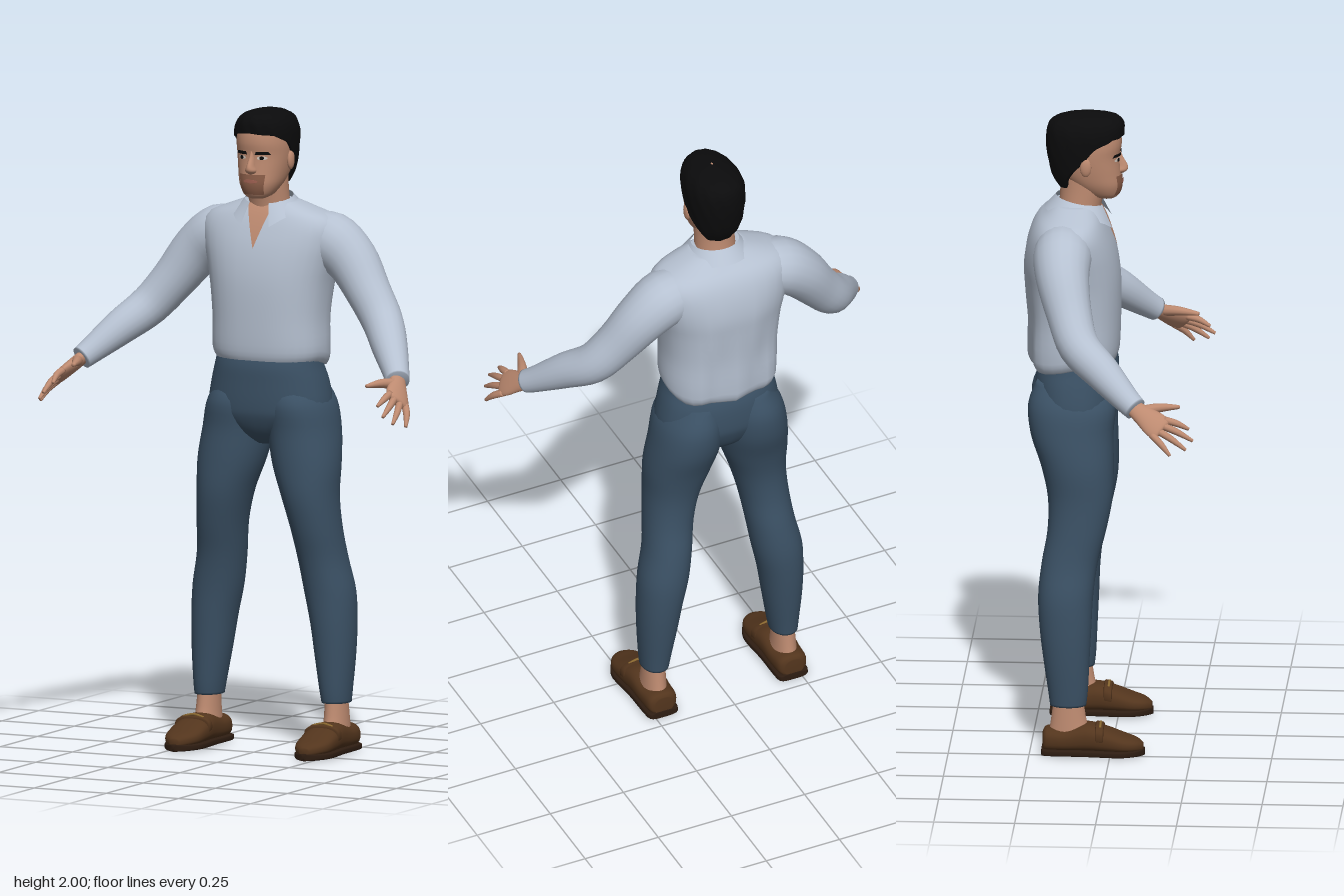
import * as THREE from 'three';

const V = (x, y, z) => new THREE.Vector3(x, y, z);
const mat = (name, color, side = THREE.FrontSide) => {
  const m = new THREE.MeshStandardMaterial({ color, side });
  m.name = name;
  return m;
};

// Catmull-Rom resampling of rows of numbers
function smooth(rows, k = 4) {
  const out = [];
  for (let i = 0; i < rows.length - 1; i++) {
    const [a, b, c, d] = [rows[Math.max(i - 1, 0)], rows[i], rows[i + 1], rows[Math.min(i + 2, rows.length - 1)]];
    for (let s = 0; s < k; s++) {
      const t = s / k;
      out.push(b.map((_, j) => 0.5 * (2 * b[j] + (c[j] - a[j]) * t + (2 * a[j] - 5 * b[j] + 4 * c[j] - d[j]) * t * t
        + (3 * b[j] - a[j] - 3 * c[j] + d[j]) * t * t * t)));
    }
  }
  out.push(rows[rows.length - 1]);
  return out;
}

// Closed skin over sections { c, u, v }: centre and two half axes, superellipse power p
function loft(sections, p = 2, n = 32) {
  const pos = [], idx = [];
  const f = (t) => Math.sign(t) * Math.abs(t) ** (2 / p);
  for (const { c, u, v } of sections)
    for (let j = 0; j < n; j++) {
      const a = (j / n) * Math.PI * 2;
      const q = c.clone().addScaledVector(u, f(Math.cos(a))).addScaledVector(v, f(Math.sin(a)));
      pos.push(q.x, q.y, q.z);
    }
  const m = sections.length, end = m * n;
  for (const s of [sections[0], sections[m - 1]]) pos.push(s.c.x, s.c.y, s.c.z);
  for (let j = 0; j < n; j++) {
    const k = (j + 1) % n;
    for (let i = 0; i < m - 1; i++) {
      const a = i * n + j, b = i * n + k;
      idx.push(a, b, b + n, a, b + n, a + n);
    }
    idx.push(end, k, j, end + 1, (m - 1) * n + j, (m - 1) * n + k);
  }
  // turn faces outward if the enclosed volume is negative
  let vol = 0;
  const P = (i) => V(pos[3 * i], pos[3 * i + 1], pos[3 * i + 2]).sub(sections[0].c);
  for (let i = 0; i < idx.length; i += 3) vol += P(idx[i]).dot(P(idx[i + 1]).cross(P(idx[i + 2])));
  if (vol < 0) idx.reverse();
  return build(pos, idx);
}

function build(pos, idx) {
  const g = new THREE.BufferGeometry();
  g.setAttribute('position', new THREE.Float32BufferAttribute(pos, 3));
  g.setIndex(idx);
  g.computeVertexNormals();
  return g;
}

// Grid surface from a rule fn(s, t) -> Vector3
function sheet(fn, ns, nt) {
  const pos = [], idx = [];
  for (let i = 0; i <= nt; i++) for (let j = 0; j <= ns; j++) pos.push(...fn(j / ns, i / nt).toArray());
  for (let i = 0; i < nt; i++)
    for (let j = 0; j < ns; j++) {
      const a = i * (ns + 1) + j, b = a + ns + 1;
      idx.push(a, a + 1, b + 1, a, b + 1, b);
    }
  return build(pos, idx);
}

// Upright body: rows [y, centre x, half width, front z, back z]
const upright = (rows, p) => loft(rows.map(([y, cx, hx, zf, zb]) =>
  ({ c: V(cx, y, (zf + zb) / 2), u: V(hx, 0, 0), v: V(0, 0, (zf - zb) / 2) })), p);

// Lengthwise body: rows [z, centre x, half width, bottom y, top y]
const lengthwise = (rows, p) => loft(rows.map(([z, cx, hx, y0, y1]) =>
  ({ c: V(cx, (y0 + y1) / 2, z), u: V(hx, 0, 0), v: V(0, (y1 - y0) / 2, 0) })), p);

// Limb: rows [x, y, z, radius]
function limb(rows, n = 20, k = 4) {
  const r = smooth(rows, k), at = (i) => V(...r[Math.min(Math.max(i, 0), r.length - 1)].slice(0, 3));
  return loft(r.map((q, i) => {
    const t = at(i + 1).sub(at(i - 1)).normalize();
    const u = t.clone().cross(V(0.6, 0.8, 0)).normalize(), v = t.clone().cross(u);
    return { c: at(i), u: u.multiplyScalar(q[3]), v: v.multiplyScalar(q[3]) };
  }), 2, n);
}

function rowAt(rows, y) {
  let i = 0;
  while (i < rows.length - 2 && rows[i + 1][0] < y) i++;
  const t = THREE.MathUtils.clamp((y - rows[i][0]) / (rows[i + 1][0] - rows[i][0]), 0, 1);
  return rows[i].map((a, j) => a + (rows[i + 1][j] - a) * t);
}

// Thin face lying on the front of an upright body
function decal(rows, p, y0, y1, span, off = 0.004) {
  return sheet((s, t) => {
    const y = y0 + (y1 - y0) * t, [l, r] = span(t), x = l + (r - l) * s;
    const [, , hx, zf, zb] = rowAt(rows, y);
    const d = (1 - Math.min(Math.abs(x / hx), 1) ** p) ** (1 / p);
    return V(x, y, (zf + zb) / 2 + ((zf - zb) / 2) * d + off);
  }, 10, 10);
}
const oval = (cx, w) => (t) => {
  const h = w * Math.sqrt(Math.max(0, 1 - (2 * t - 1) ** 2));
  return [cx - h, cx + h];
};

export function createModel() {
  const g = new THREE.Group();
  g.name = 'standingMan';
  const shirt = mat('shirt', 0xb6c1d1, THREE.DoubleSide), denim = mat('trousers', 0x3b5165);
  const skin = mat('skin', 0xbd8a70, THREE.DoubleSide), stubble = mat('stubble', 0x8a5d48);
  const hair = mat('hair', 0x0b0b0c, THREE.DoubleSide), leather = mat('leather', 0x53351d);
  const sole = mat('sole', 0x2e1d12), brass = mat('brass', 0x8a6830);
  const white = mat('eyeWhite', 0xcfc4ba), lip = mat('lips', 0x9c5f50);
  const add = (name, geo, m) => {
    const o = new THREE.Mesh(geo, m);
    o.name = name;
    g.add(o);
  };
  const pair = (name, geo, m) => {
    add(name + 'Left', geo, m);
    const r = geo.clone().scale(-1, 1, 1);
    r.index.array.reverse();
    add(name + 'Right', r, m);
  };

  // Shirt body, with a longer back hem and soft folds
  const torso = smooth([[1.215, 0, 0.17, 0.005, -0.25], [1.25, 0, 0.185, 0.016, -0.262], [1.35, 0, 0.185, 0.02, -0.265],
    [1.45, 0, 0.195, 0.02, -0.273], [1.52, 0, 0.21, 0.013, -0.278], [1.58, 0, 0.225, 0, -0.272], [1.63, 0, 0.23, -0.017, -0.258],
    [1.665, 0, 0.205, -0.032, -0.238], [1.69, 0, 0.145, -0.045, -0.21], [1.712, 0, 0.085, -0.06, -0.185]]);
  const body = upright(torso, 2.4), bp = body.attributes.position;
  for (let i = 0; i < bp.count; i++) {
    const x = bp.getX(i), y = bp.getY(i), z = bp.getZ(i), low = THREE.MathUtils.clamp((1.6 - y) / 0.35, 0, 1);
    if (z < -0.14) bp.setZ(i, z + 0.008 * low * Math.sin(x * 48 + y * 9));
    if (y < 1.26 && z < -0.1) bp.setY(i, y - 0.022 * Math.min(1, (-0.1 - z) / 0.1));
  }
  body.computeVertexNormals();
  add('shirtBody', body, shirt);
  pair('sleeve', limb([[0.11, 1.595, -0.15, 0.075], [0.19, 1.588, -0.15, 0.09], [0.265, 1.533, -0.145, 0.082],
    [0.337, 1.44, -0.12, 0.07], [0.403, 1.358, -0.085, 0.064], [0.465, 1.295, -0.01, 0.056],
    [0.525, 1.23, 0.065, 0.042], [0.548, 1.205, 0.097, 0.037]]), shirt);
  add('openNeckline', decal(torso, 2.4, 1.57, 1.705, (t) => [-0.044 * t, 0.044 * t], 0.006), skin);

  // Folded collar, open and pointed at the front
  add('collar', sheet((s, t) => {
    const a = 0.45 + s * (Math.PI * 2 - 0.9), k = Math.cos(a), e = Math.max(0, k) ** 4;
    const top = 1.735 - 0.014 * (k + 1), y = top - t * (0.04 + 0.045 * e);
    return V(Math.sin(a) * (0.075 + 0.037 * t), y, -0.105 + k * (0.076 + 0.036 * t));
  }, 48, 4), shirt);

  // Hands
  const wrist = V(0.542, 1.212, 0.085), knuckle = V(0.588, 1.153, 0.178);
  const across = V(0.54, -0.6, -0.59).normalize();
  const fwd = knuckle.clone().sub(wrist).normalize(), thick = across.clone().cross(fwd).normalize();
  pair('palm', loft(smooth([[0, 0.026, 0.02], [0.35, 0.032, 0.02], [0.75, 0.042, 0.018], [1, 0.04, 0.014], [1.06, 0.03, 0.006]]).map(([t, w, h]) =>
    ({ c: wrist.clone().lerp(knuckle, t), u: across.clone().multiplyScalar(w), v: thick.clone().multiplyScalar(h) }))), skin);
  [[0.562, 1.148, 0.262], [0.588, 1.118, 0.276], [0.612, 1.095, 0.256], [0.633, 1.082, 0.208]].forEach((tip, i) => {
    const b = knuckle.clone().addScaledVector(across, -0.031 + 0.021 * i).addScaledVector(fwd, -0.012);
    const m = b.clone().lerp(V(...tip), 0.5).add(V(0.004, 0.005, 0));
    pair('finger' + (i + 1), limb([[...b, 0.0115], [...m, 0.0105], [...tip, 0.005]], 10), skin);
  });
  pair('thumb', limb([[0.55, 1.2, 0.12, 0.018], [0.527, 1.205, 0.17, 0.014], [0.508, 1.203, 0.23, 0.006]], 10), skin);

  // Trousers: seat and legs
  add('trouserSeat', upright(smooth([[0.955, 0, 0.03, -0.06, -0.17], [0.99, 0, 0.11, -0.02, -0.21], [1.04, 0, 0.19, 0.005, -0.236],
    [1.08, 0, 0.2, 0.012, -0.245], [1.15, 0, 0.188, 0.013, -0.243], [1.2, 0, 0.174, 0.012, -0.228], [1.24, 0, 0.165, 0.002, -0.21]]), 2.3), denim);
  pair('trouserLeg', upright(smooth([[1.16, 0.09, 0.06, -0.03, -0.235], [1.09, 0.102, 0.098, 0.008, -0.261], [1.0, 0.113, 0.108, 0.003, -0.254],
    [0.9, 0.129, 0.105, 0.005, -0.22], [0.8, 0.146, 0.087, 0.002, -0.198], [0.7, 0.162, 0.077, -0.017, -0.198],
    [0.6, 0.175, 0.075, -0.042, -0.215], [0.5, 0.193, 0.078, -0.055, -0.225], [0.4, 0.206, 0.07, -0.06, -0.22],
    [0.3, 0.213, 0.061, -0.065, -0.208], [0.2, 0.218, 0.049, -0.07, -0.193], [0.155, 0.22, 0.043, -0.075, -0.187]]), 2.1), denim);

  // Ankles and loafers
  pair('ankle', upright(smooth([[0.05, 0.222, 0.04, -0.05, -0.195], [0.1, 0.222, 0.036, -0.072, -0.185], [0.18, 0.22, 0.032, -0.085, -0.175]]), 2), skin);
  pair('shoe', lengthwise(smooth([[-0.209, 0.222, 0.03, 0.012, 0.07], [-0.195, 0.222, 0.048, 0.01, 0.085], [-0.14, 0.222, 0.053, 0.01, 0.085],
    [-0.075, 0.223, 0.055, 0.01, 0.1], [-0.02, 0.224, 0.059, 0.01, 0.088], [0.04, 0.225, 0.057, 0.01, 0.065],
    [0.08, 0.225, 0.04, 0.012, 0.052], [0.102, 0.225, 0.014, 0.015, 0.038]]), 2.5), leather);
  pair('shoeSole', lengthwise(smooth([[-0.212, 0.222, 0.034, 0, 0.022], [-0.195, 0.222, 0.052, 0, 0.022], [-0.08, 0.223, 0.055, 0, 0.022],
    [0.0, 0.224, 0.062, 0, 0.022], [0.045, 0.225, 0.059, 0, 0.022], [0.085, 0.225, 0.038, 0, 0.022], [0.106, 0.225, 0.01, 0, 0.022]]), 5), sole);
  pair('shoeStrap', lengthwise([[-0.045, 0.224, 0.056, 0.03, 0.098], [-0.042, 0.224, 0.059, 0.03, 0.1],
    [-0.022, 0.224, 0.061, 0.03, 0.095], [-0.019, 0.224, 0.058, 0.03, 0.09]], 2.6), leather);
  pair('shoeBit', limb([[0.19, 0.092, -0.03, 0.004], [0.224, 0.1, -0.03, 0.004], [0.258, 0.092, -0.03, 0.004]], 8), brass);

  // Neck and head
  add('neck', upright(smooth([[1.62, 0, 0.07, -0.055, -0.18], [1.7, 0, 0.064, -0.042, -0.172], [1.76, 0, 0.061, -0.03, -0.168], [1.82, 0, 0.06, -0.03, -0.17]]), 2), skin);
  const head = smooth([[1.726, 0, 0.025, 0, -0.05], [1.738, 0, 0.045, 0.014, -0.09], [1.77, 0, 0.064, 0.023, -0.135], [1.81, 0, 0.075, 0.02, -0.17],
    [1.86, 0, 0.083, 0.016, -0.19], [1.9, 0, 0.085, 0.022, -0.2], [1.94, 0, 0.08, 0.018, -0.2], [1.97, 0, 0.06, 0, -0.17], [1.985, 0, 0.02, -0.05, -0.12]]);
  add('head', upright(head, 2.2), skin);
  add('nose', upright(smooth([[1.805, 0, 0.012, 0.028, -0.01], [1.815, 0, 0.018, 0.04, -0.01], [1.83, 0, 0.013, 0.04, -0.01],
    [1.855, 0, 0.009, 0.026, -0.01], [1.875, 0, 0.006, 0.018, -0.01]]), 2), skin);
  const ear = new THREE.SphereGeometry(1, 14, 10).scale(0.01, 0.03, 0.018).translate(0.085, 1.842, -0.085);
  pair('ear', ear, skin);
  add('beardShade', decal(head, 2.2, 1.74, 1.803, (t) => [-0.036 - 0.008 * t, 0.036 + 0.008 * t], 0.002), stubble);
  add('mouth', decal(head, 2.2, 1.776, 1.788, oval(0, 0.024)), lip);
  pair('eye', decal(head, 2.2, 1.849, 1.861, oval(0.034, 0.015), 0.003), white);
  pair('iris', decal(head, 2.2, 1.849, 1.861, oval(0.034, 0.0065), 0.005), hair);
  pair('eyebrow', decal(head, 2.2, 1.865, 1.875, (t) => [0.013 + 0.004 * t, 0.058 - 0.006 * t]), hair);

  // Hair: a cap whose lower edge drops from the forehead to the nape
  const cap = smooth([[1.755, 0, 0.062, 0, -0.165], [1.8, 0, 0.08, 0.01, -0.193], [1.86, 0, 0.089, 0.02, -0.207], [1.9, 0, 0.092, 0.027, -0.211],
    [1.94, 0, 0.09, 0.031, -0.21], [1.97, 0, 0.076, 0.026, -0.198], [1.99, 0, 0.048, 0, -0.158], [2.0, 0, 0.003, -0.08, -0.09]]);
  const edge = [[0, 1.932], [0.25, 1.925], [0.42, 1.9], [0.52, 1.845], [0.66, 1.8], [0.75, 1.765], [1, 1.758]];
  add('hair', sheet((s, t) => {
    const a = s * Math.PI * 2, low = rowAt(edge, Math.abs(s > 0.5 ? 2 - 2 * s : 2 * s))[1];
    const q = Math.max(0, (t - 0.06) / 0.94), y = low + (2 - low) * Math.sin(q * Math.PI / 2);
    const [, , hx, zf, zb] = rowAt(cap, y);
    const r = (t === 0 ? 0.86 : 1) * (1 + 0.012 * Math.sin(a * 14 + y * 70));
    const f = (w) => Math.sign(w) * Math.abs(w) ** (2 / 2.2);
    return V(hx * r * f(Math.sin(a)), y, (zf + zb) / 2 + ((zf - zb) / 2) * r * f(Math.cos(a)));
  }, 64, 24), hair);
  return g;
}
